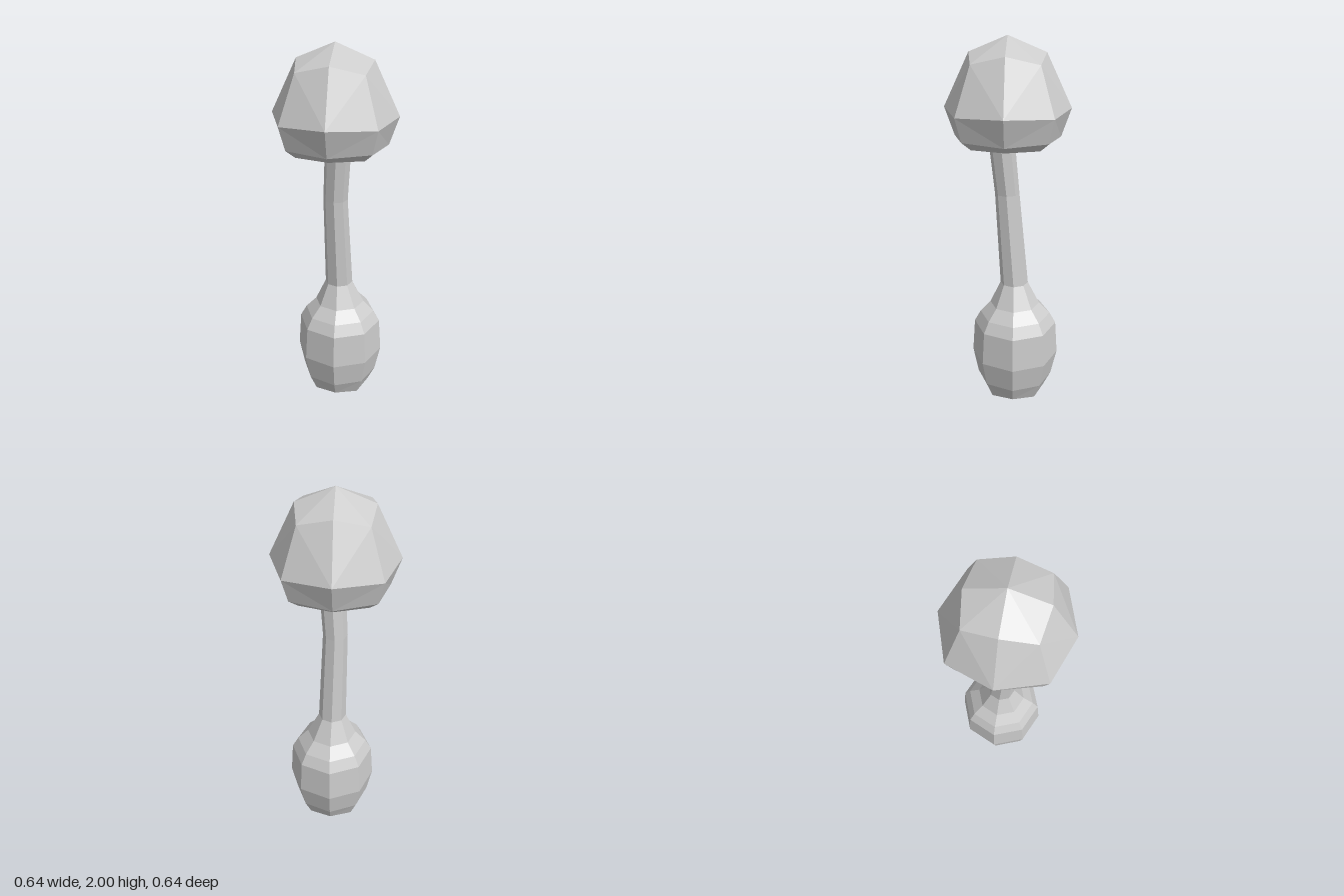
import * as THREE from 'three';

const SIDES = 8;
const material = new THREE.MeshStandardMaterial({ color: 0xcccccc, flatShading: true });

// Lofts eight-sided rings from bottom to top.
// Each ring: [y, axis radius, diagonal radius, centre x, centre z, diagonal y]; radius 0 closes to a point.
function loft(name, rings) {
  const positions = [];
  const index = [];
  for (const [y, r, rd = r, cx = 0, cz = 0, yd = y] of rings) {
    for (let i = 0; i < SIDES; i++) {
      const a = (i / SIDES) * Math.PI * 2;
      const radius = i % 2 ? rd : r;
      positions.push(cx + Math.sin(a) * radius, i % 2 ? yd : y, cz + Math.cos(a) * radius);
    }
  }
  for (let k = 0; k < rings.length - 1; k++) {
    for (let i = 0; i < SIDES; i++) {
      const j = (i + 1) % SIDES;
      const a = k * SIDES + i, b = k * SIDES + j;
      const c = b + SIDES, d = a + SIDES;
      // Split along the diagonal corners so each side stays symmetric
      const tris = i % 2 ? [[a, b, d], [b, c, d]] : [[a, b, c], [a, c, d]];
      const closedBottom = rings[k][1] === 0, closedTop = rings[k + 1][1] === 0;
      if (closedBottom) index.push(a, c, d);
      else if (closedTop) index.push(a, b, d);
      else index.push(...tris.flat());
    }
  }
  const geometry = new THREE.BufferGeometry();
  geometry.setAttribute('position', new THREE.Float32BufferAttribute(positions, 3));
  geometry.setIndex(index);
  const flat = geometry.toNonIndexed();
  flat.computeVertexNormals();
  const mesh = new THREE.Mesh(flat, material);
  mesh.name = name;
  return mesh;
}

export function createModel() {
  const group = new THREE.Group();
  group.name = 'mushroom';

  // Swollen base running up into a thin, slightly bent stem
  group.add(loft('stem', [
    [0.0, 0, 0, 0.02, -0.04],
    [0.06, 0.165, 0.165, 0.02, -0.04, 0.05],
    [0.14, 0.205, 0.205, 0.02, -0.04],
    [0.28, 0.235, 0.235, 0.02, -0.042],
    [0.46, 0.223, 0.223, 0.02, -0.042],
    [0.52, 0.19, 0.19, 0.02, -0.042],
    [0.58, 0.133, 0.133, 0.02, -0.04],
    [0.7, 0.074, 0.074, 0.016, -0.037],
    [1.2, 0.064, 0.064, 0.002, 0.002],
    [1.47, 0.067, 0.067, 0.018, 0.028],
    [1.56, 0.067, 0.067, 0.022, 0.034],
    [1.56, 0, 0, 0.022, 0.034],
  ]));

  // Domed cap with a shallow hollow underneath
  group.add(loft('cap', [
    [1.54, 0, 0],
    [1.52, 0.14, 0.14],
    [1.47, 0.22, 0.24],
    [1.505, 0.27, 0.297, 0, 0, 1.515],
    [1.65, 0.32, 0.335, 0, 0, 1.64],
    [1.92, 0.192, 0.236, 0, 0, 1.88],
    [2.0, 0, 0],
  ]));

  return group;
}
